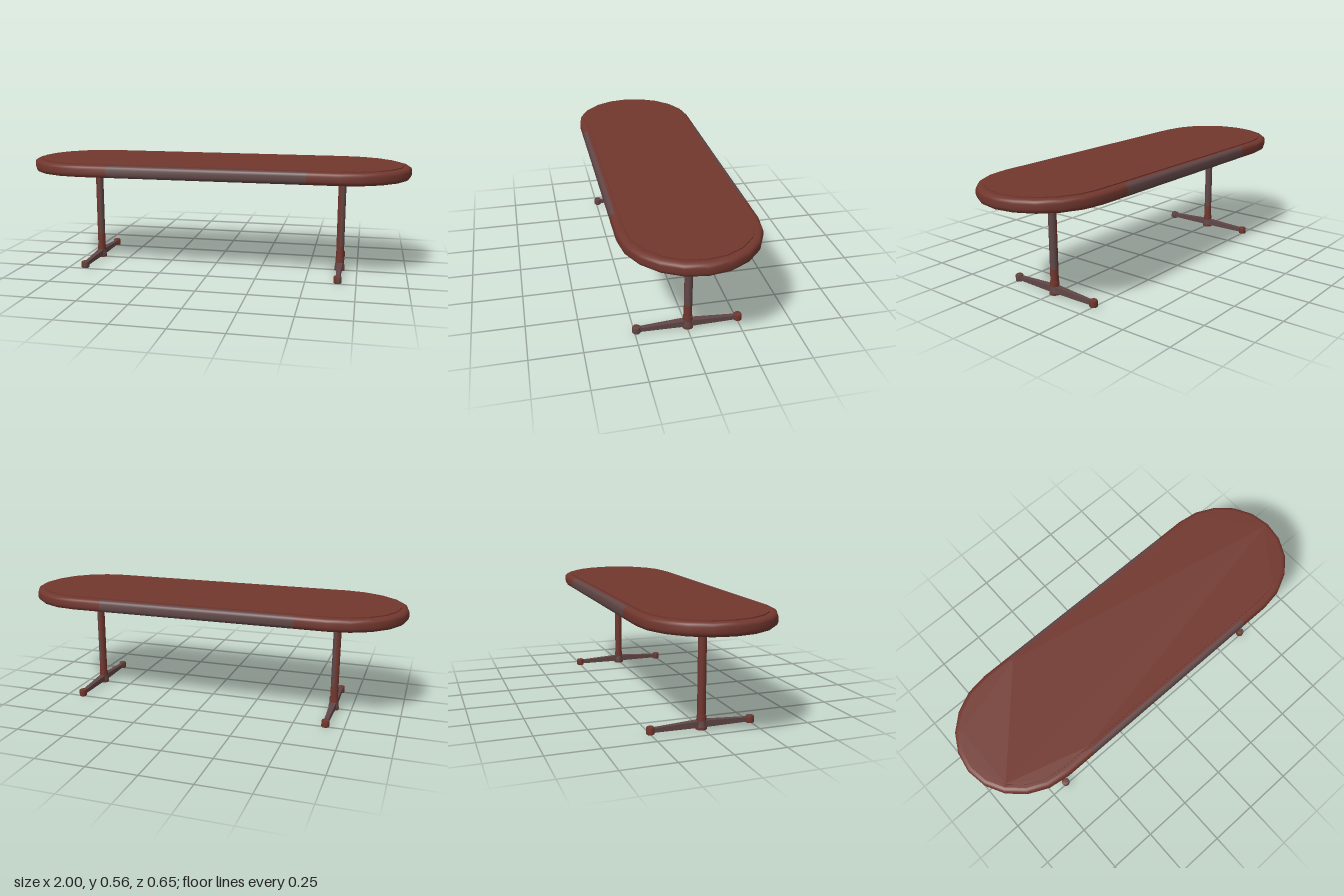
import * as THREE from 'three';

const red = new THREE.MeshStandardMaterial({ color: 0x71372e });
red.name = 'red brown';
const grey = new THREE.MeshStandardMaterial({ color: 0x614646 });
grey.name = 'worn grey brown';

const MID = 0.655, SEG = 10, WORN = 0.5;

// Long oval outline, shrunk by an inset, as [x, z] points
function outline(inset) {
  const pts = [];
  for (const side of [1, -1]) {
    for (let i = 0; i <= SEG; i++) {
      const a = -Math.PI / 2 + (Math.PI * i) / SEG;
      pts.push([side * (MID + (0.345 - inset) * Math.cos(a)), side * (0.325 - inset) * Math.sin(a)]);
    }
    pts.push([side * WORN, side * (0.325 - inset)], [-side * WORN, side * (0.325 - inset)]);
  }
  return pts;
}

const ovalShape = (inset) => new THREE.Shape(outline(inset).map(([x, z]) => new THREE.Vector2(x, z)));

function add(parent, name, geometry, material, x = 0, y = 0, z = 0) {
  const mesh = new THREE.Mesh(geometry, material);
  mesh.name = name;
  mesh.position.set(x, y, z);
  parent.add(mesh);
  return mesh;
}

// Rounded edge of the top, worn along both straight sides
function rimGeometry() {
  const profile = [[0.022, 0.498], [0.012, 0.5], [0.004, 0.507], [0, 0.518],
    [0, 0.542], [0.004, 0.552], [0.012, 0.558], [0.022, 0.56]];
  const n = outline(0).length, positions = [], index = [[], []];
  for (const [inset, y] of profile) for (const [x, z] of outline(inset)) positions.push(x, y, z);
  const flat = outline(0);
  for (let i = 0; i < n; i++) {
    const k = (i + 1) % n;
    const worn = Math.abs(flat[i][0]) <= WORN && Math.abs(flat[k][0]) <= WORN;
    for (let j = 0; j < profile.length - 1; j++) {
      const a = j * n + i, b = j * n + k;
      index[worn ? 1 : 0].push(a, a + n, b, b, a + n, b + n);
    }
  }
  const g = new THREE.BufferGeometry();
  g.setAttribute('position', new THREE.Float32BufferAttribute(positions, 3));
  g.setIndex([...index[0], ...index[1]]);
  g.addGroup(0, index[0].length, 0);
  g.addGroup(index[0].length, index[1].length, 1);
  g.computeVertexNormals();
  return g;
}

// Upright cylinder standing on y, with its left half in a second colour if given
function column(parent, name, r, y0, y1, z, material, leftMaterial = material) {
  [leftMaterial, material].forEach((m, i) => add(parent, name,
    new THREE.CylinderGeometry(r, r, y1 - y0, 8, 1, false, i * Math.PI, Math.PI), m, 0, (y0 + y1) / 2, z));
}

// Tapered arm running from the post out to a foot
function armGeometry() {
  const g = new THREE.BoxGeometry(1, 1, 1);
  const p = g.attributes.position;
  for (let i = 0; i < p.count; i++) {
    const outer = p.getZ(i) > 0;
    const half = outer ? 0.01 : 0.016, top = outer ? 0.031 : 0.043;
    p.setXYZ(i, Math.sign(p.getX(i)) * half, p.getY(i) > 0 ? top : 0.011, outer ? 0.235 : 0);
  }
  g.computeVertexNormals();
  return g;
}

function makeLeg(x) {
  const leg = new THREE.Group();
  leg.name = 'leg';
  leg.position.set(x, 0, -0.005);
  column(leg, 'lowerPost', 0.02, 0.04, 0.13, 0, red);
  column(leg, 'upperPost', 0.02, 0.13, 0.5, 0, red, grey);
  column(leg, 'collar', 0.023, 0.042, 0.064, 0, red);
  column(leg, 'hub', 0.027, 0, 0.012, 0, red);
  const flare = new THREE.CylinderGeometry(0.021, 0.027, 0.036, 8);
  add(leg, 'hubFlare', flare, grey, 0, 0.029, 0);
  for (const side of [1, -1]) {
    add(leg, 'arm', armGeometry(), grey).rotation.y = side > 0 ? 0 : Math.PI;
    // Foot pad with slightly bevelled edges
    const pad = [[0, 0.003], [0.017, 0.003], [0.02, 0.006], [0.02, 0.034], [0.017, 0.038], [0, 0.038]]
      .map(([r, y]) => new THREE.Vector2(r, y));
    [side > 0 ? grey : red, red].forEach((m, i) =>
      add(leg, 'foot', new THREE.LatheGeometry(pad, 5, i * Math.PI, Math.PI), m, 0, 0, side * 0.247));
  }
  return leg;
}

export function createModel() {
  const model = new THREE.Group();
  model.name = 'ovalTable';

  // Table top: rim, closing faces and raised panel
  add(model, 'rim', rimGeometry(), [red, grey]);
  add(model, 'underside', new THREE.ShapeGeometry(ovalShape(0.022)).rotateX(Math.PI / 2), red, 0, 0.498, 0);
  add(model, 'rimTop', new THREE.ShapeGeometry(ovalShape(0.022)).rotateX(-Math.PI / 2), red, 0, 0.56, 0);
  const panel = new THREE.ExtrudeGeometry(ovalShape(0.037), { depth: 0.008, bevelEnabled: false });
  add(model, 'topPanel', panel.rotateX(-Math.PI / 2), red, 0, 0.557, 0);

  for (const side of [1, -1]) model.add(makeLeg(side * 0.66));
  return model;
}
